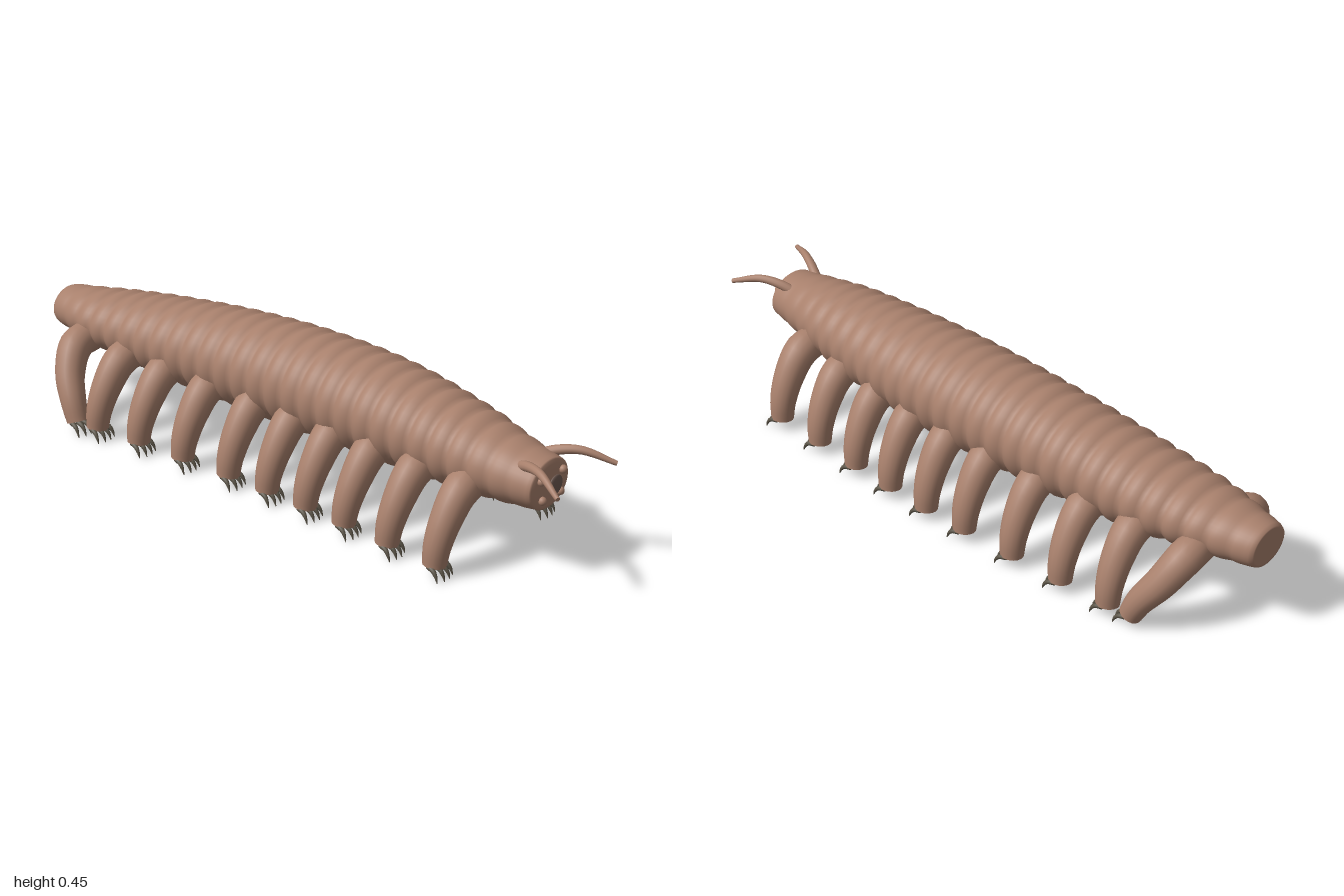
import * as THREE from 'three';

const skin = new THREE.MeshStandardMaterial({ color: 0xa8806c });
const clawMat = new THREE.MeshStandardMaterial({ color: 0x5c5548 });
const mouthMat = new THREE.MeshStandardMaterial({ color: 0x6c5850 });
const V = (x, y, z) => new THREE.Vector3(x, y, z);

// Skin a list of rings (each the same number of points) into a smooth surface
function loft(rings) {
  const n = rings[0].length, pos = [], idx = [];
  rings.forEach(r => r.forEach(p => pos.push(p.x, p.y, p.z)));
  for (let i = 0; i < rings.length - 1; i++) {
    for (let j = 0; j < n; j++) {
      const a = i * n + j, b = i * n + (j + 1) % n;
      idx.push(a, b, a + n, b, b + n, a + n);
    }
  }
  const g = new THREE.BufferGeometry();
  g.setAttribute('position', new THREE.Float32BufferAttribute(pos, 3));
  g.setIndex(idx);
  g.computeVertexNormals();
  return g;
}

// Tube along points with a radius list, closed by flat crisp caps
function limb(points, radii, steps, sides) {
  const curve = new THREE.CatmullRomCurve3(points);
  const f = curve.computeFrenetFrames(steps);
  const ring = (i, k) => {
    const t = i / steps, u = t * (radii.length - 1);
    const m = Math.min(Math.floor(u), radii.length - 2);
    const r = k * THREE.MathUtils.lerp(radii[m], radii[m + 1], u - m);
    const c = curve.getPointAt(t);
    return Array.from({ length: sides }, (_, j) => {
      const a = j / sides * Math.PI * 2;
      return c.clone().addScaledVector(f.normals[i], r * Math.cos(a))
        .addScaledVector(f.binormals[i], r * Math.sin(a));
    });
  };
  const rings = [ring(0, 0), ring(0, 1)];
  for (let i = 0; i <= steps; i++) rings.push(ring(i, 1));
  rings.push(ring(steps, 1), ring(steps, 0));
  return loft(rings);
}

// Body stations: z, centre x, centre y, half width, half height
const stations = [
  [-1.0, -0.038, 0.28, 0.074, 0.064],
  [-0.9, -0.034, 0.282, 0.1, 0.075],
  [-0.8, -0.028, 0.285, 0.122, 0.086],
  [-0.6, -0.012, 0.288, 0.145, 0.112],
  [-0.3, 0.006, 0.298, 0.16, 0.136],
  [0.0, 0.018, 0.303, 0.168, 0.146],
  [0.3, 0.02, 0.301, 0.164, 0.138],
  [0.6, 0.004, 0.29, 0.137, 0.112],
  [0.75, -0.006, 0.281, 0.112, 0.092],
  [0.87, -0.01, 0.276, 0.09, 0.075],
];

function station(z) {
  let i = 0;
  while (i < stations.length - 2 && z > stations[i + 1][0]) i++;
  const at = k => stations[Math.max(0, Math.min(stations.length - 1, k))];
  const [p0, p1, p2, p3] = [at(i - 1), at(i), at(i + 1), at(i + 2)];
  const h = p2[0] - p1[0], t = (z - p1[0]) / h;
  return [1, 2, 3, 4].map(k => {
    const m1 = (p2[k] - p0[k]) / (p2[0] - p0[0]) * h;
    const m2 = (p3[k] - p1[k]) / (p3[0] - p1[0]) * h;
    const t2 = t * t, t3 = t2 * t;
    return (2 * t3 - 3 * t2 + 1) * p1[k] + (t3 - 2 * t2 + t) * m1
      + (3 * t2 - 2 * t3) * p2[k] + (t3 - t2) * m2;
  });
}

// Ringed trunk: rounded swellings divided by narrow creases
function bodyGeometry() {
  const n = 44, rows = 168, ridges = 28, rings = [];
  const ring = (z, k) => {
    const [cx, cy, rx, ry] = station(z);
    const u = (z + 1) / 1.87;
    const fade = Math.min(1, (1 - u) * 7, u * 9);
    const bump = 0.011 * fade * (Math.abs(Math.sin(u * ridges * Math.PI)) - 0.45);
    return Array.from({ length: n }, (_, j) => {
      const a = j / n * Math.PI * 2;
      return V(cx + k * (rx + bump) * Math.cos(a), cy + k * (ry + bump) * Math.sin(a), z);
    });
  };
  [0, 0.5, 0.85].forEach(k => rings.push(ring(-1, k)));
  for (let i = 0; i <= rows; i++) {
    const z = -1 + 1.87 * i / rows;
    rings.push(ring(z, i === 0 ? 0.95 : 1));
  }
  [0.95, 0.8, 0.4, 0].forEach((k, i) => {
    const r = ring(0.87, k);
    r.forEach(p => { p.z += [0.004, 0.007, 0.008, 0.008][i]; });
    rings.push(r);
  });
  return loft(rings);
}

// One leg on side s, with four hooked claws; lean slants it along z
function makeLeg(s, lean) {
  const g = new THREE.Group();
  g.name = s > 0 ? 'leftLeg' : 'rightLeg';
  const path = [[0.06, 0.245, 1], [0.14, 0.232, 1], [0.2, 0.163, 0.7], [0.232, 0.09, 0.25], [0.24, 0.034, 0]];
  const leg = new THREE.Mesh(limb(path.map(([x, y, k]) => V(s * x, y, k * lean)),
    [0.05, 0.053, 0.048, 0.042, 0.035], 20, 18), skin);
  leg.name = 'limb';
  g.add(leg);
  for (let i = 0; i < 4; i++) {
    const d = (i - 1.5) / 1.5;
    const x = s * (0.24 + 0.026 * d), z = 0.02 - 0.012 * Math.abs(d);
    const claw = new THREE.Mesh(limb([
      V(x, 0.038, z - 0.01), V(x + s * 0.004 * d, 0.032, z + 0.012),
      V(x + s * 0.007 * d, 0.018, z + 0.024), V(x + s * 0.008 * d, 0.001, z + 0.03),
    ], [0.008, 0.0075, 0.005, 0.001], 8, 8), clawMat);
    claw.name = 'claw';
    g.add(claw);
  }
  return g;
}

export function createModel() {
  const model = new THREE.Group();
  model.name = 'manyLeggedWorm';
  const add = (name, geo, mat, x = 0, y = 0, z = 0) => {
    const m = new THREE.Mesh(geo, mat);
    m.name = name;
    m.position.set(x, y, z);
    model.add(m);
    return m;
  };
  add('body', bodyGeometry(), skin);

  // Leg pairs: foot z, sideways offset following the body's bend, slant
  [[0.655, 0.011, 0.008], [0.48, 0.016, 0.012], [0.315, 0.021, 0.012], [0.165, 0.024, 0.01],
    [0.015, 0.024, 0.01], [-0.135, 0.018, 0.008], [-0.315, 0.008, 0.008], [-0.49, -0.005, 0.008],
    [-0.655, -0.02, 0.01], [-0.73, -0.032, -0.1]].forEach(([z, x, lean]) => {
    for (const s of [-1, 1]) {
      const leg = makeLeg(s, lean);
      leg.position.set(x, 0, z);
      model.add(leg);
    }
  });

  // Face: antennae, four eyes and a round mouth
  const cx = -0.01;
  for (const s of [-1, 1]) {
    add('antenna', limb([
      V(cx + s * 0.045, 0.325, 0.8), V(cx + s * 0.068, 0.347, 0.85),
      V(cx + s * 0.095, 0.355, 0.91), V(cx + s * 0.138, 0.328, 0.998),
    ], [0.016, 0.014, 0.011, 0.007], 16, 12), skin);
    add('upperEye', new THREE.SphereGeometry(0.0125, 16, 12), skin, cx + s * 0.05, 0.305, 0.882);
    add('lowerEye', new THREE.SphereGeometry(0.0125, 16, 12), skin, cx + s * 0.041, 0.242, 0.882);
  }
  add('mouth', new THREE.SphereGeometry(0.03, 28, 16), mouthMat, -0.007, 0.279, 0.892).scale.z = 0.25;
  return model;
}
